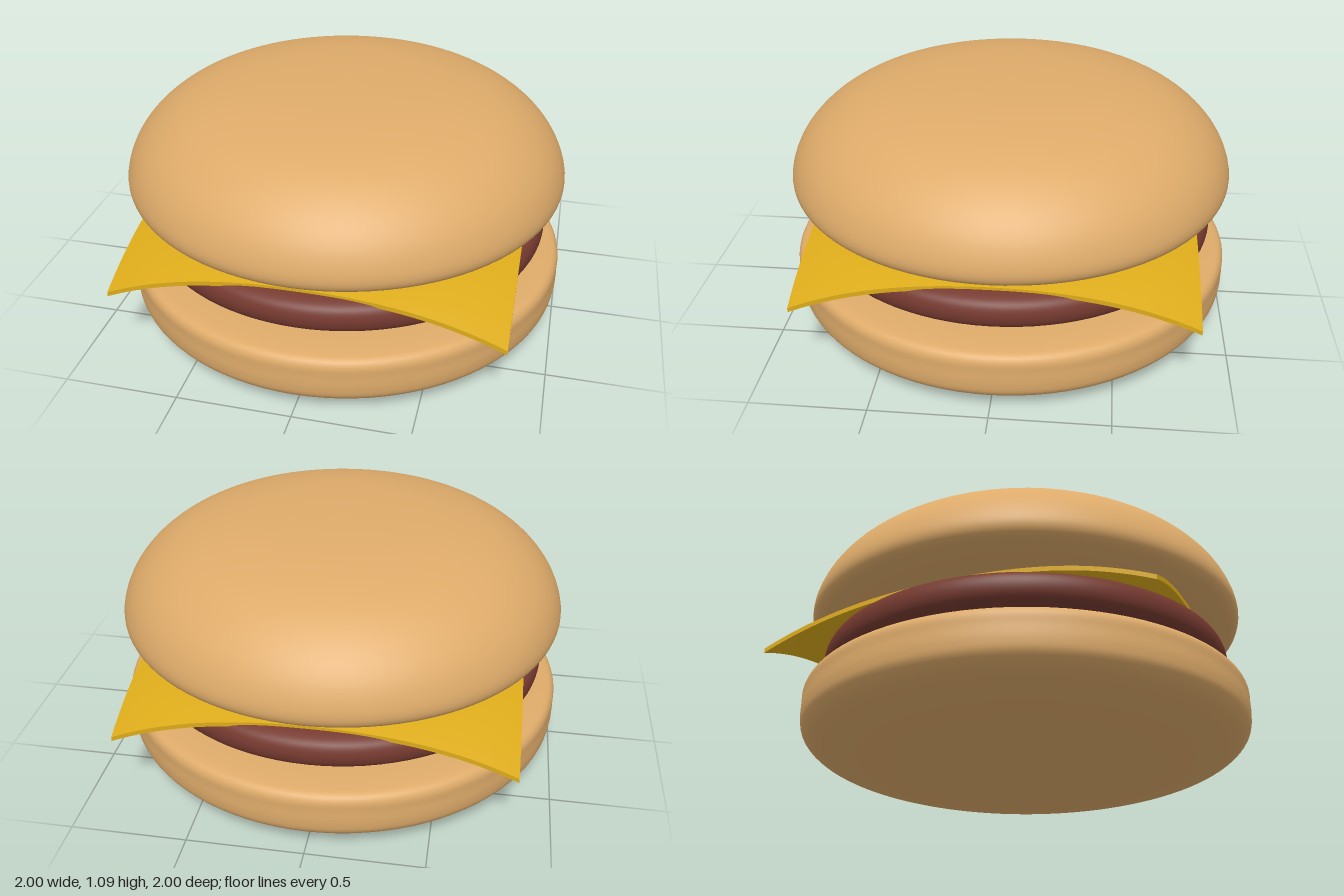
import * as THREE from 'three';

const paint = (color) => new THREE.MeshStandardMaterial({ color });

// Smooth round body spun from a few [radius, height] points, bottom to top
function roundPart(name, points, material) {
  const curve = new THREE.CatmullRomCurve3(
    points.map(([r, y]) => new THREE.Vector3(r, y, 0)), false, 'centripetal');
  const profile = curve.getPoints(64).map((p) => new THREE.Vector2(Math.max(p.x, 0), p.y));
  const mesh = new THREE.Mesh(new THREE.LatheGeometry(profile, 96), material);
  mesh.name = name;
  return mesh;
}

// Thin square slice whose corners droop with distance from the centre
function cheeseSlice(material) {
  const thickness = 0.02, top = 0.565, flatRadius = 0.6, droop = 0.54;
  const geometry = new THREE.BoxGeometry(1.68, thickness, 1.68, 40, 1, 40);
  const pos = geometry.attributes.position;
  for (let i = 0; i < pos.count; i++) {
    const over = Math.max(Math.hypot(pos.getX(i), pos.getZ(i)) - flatRadius, 0);
    pos.setY(i, pos.getY(i) + top - thickness / 2 - droop * over * over);
  }
  geometry.computeVertexNormals();
  const mesh = new THREE.Mesh(geometry, material);
  mesh.name = 'cheeseSlice';
  return mesh;
}

export function createModel() {
  const model = new THREE.Group();
  model.name = 'cheeseburger';
  const bread = paint(0xdeab6a);

  model.add(
    roundPart('bottomBun', [
      [0, 0.005], [0.35, 0.01], [0.65, 0.022], [0.85, 0.048], [0.95, 0.085], [0.99, 0.125],
      [1, 0.17], [1, 0.23], [0.998, 0.28], [0.98, 0.305], [0.93, 0.316], [0.6, 0.323], [0, 0.326],
    ], bread),
    roundPart('patty', [
      [0, 0.34], [0.4, 0.343], [0.7, 0.352], [0.85, 0.366], [0.905, 0.395], [0.92, 0.445],
      [0.905, 0.493], [0.86, 0.517], [0.75, 0.527], [0.4, 0.535], [0, 0.538],
    ], paint(0x763a30)),
    cheeseSlice(paint(0xdcab1a)),
    roundPart('topBun', [
      [0, 0.582], [0.4, 0.587], [0.75, 0.597], [0.91, 0.61], [0.965, 0.63], [0.985, 0.66],
      [0.985, 0.71], [0.945, 0.81], [0.86, 0.91], [0.72, 1.0], [0.5, 1.06], [0.25, 1.085], [0, 1.092],
    ], bread),
  );
  return model;
}
